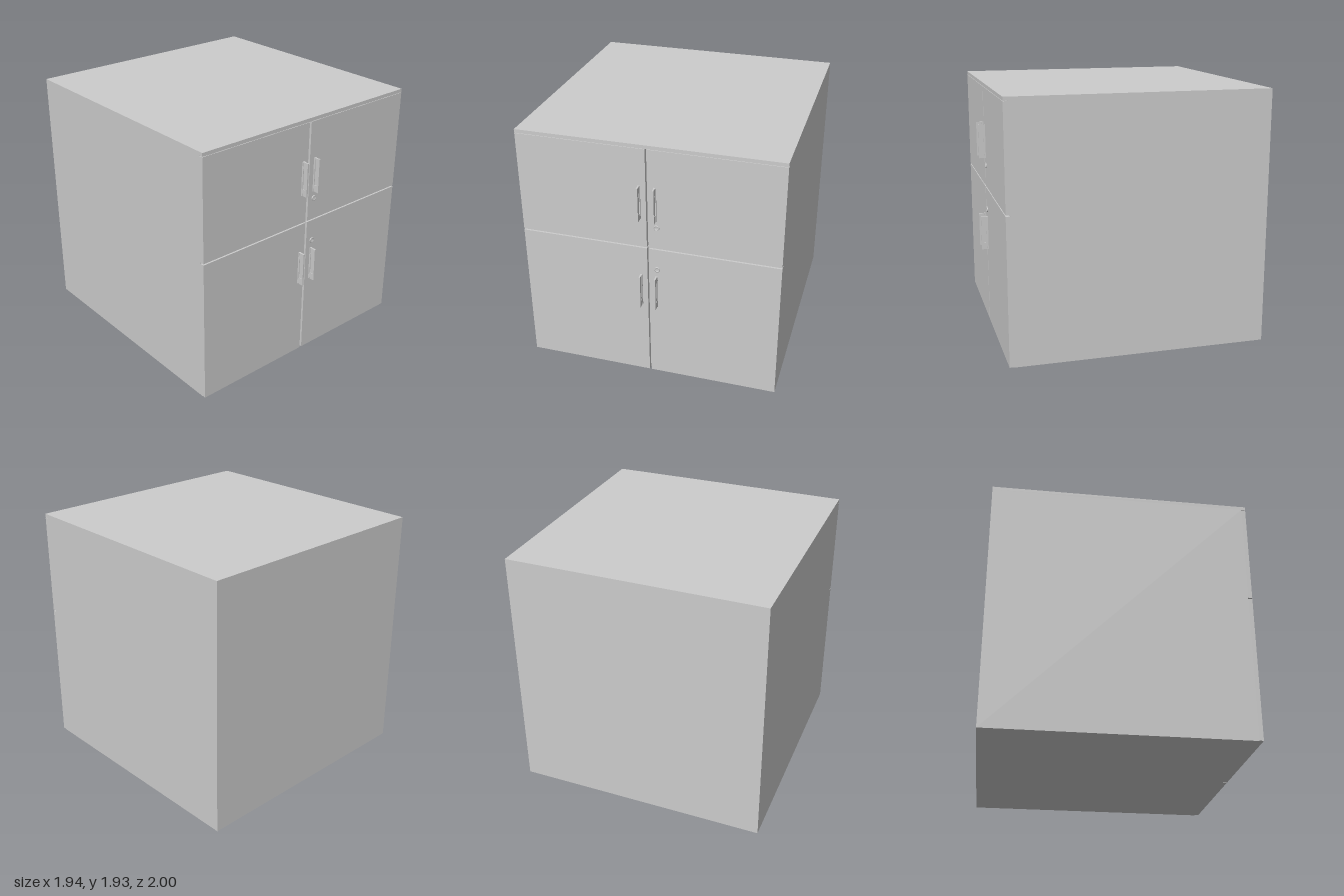
import * as THREE from 'three';

const mat = new THREE.MeshStandardMaterial({ color: 0xcccccc });

function add(parent, name, geometry, x = 0, y = 0, z = 0) {
  const mesh = new THREE.Mesh(geometry, mat);
  mesh.name = name;
  mesh.position.set(x, y, z);
  parent.add(mesh);
  return mesh;
}

// Box given by its lower and upper limits on each axis
function block(parent, name, [x0, x1], [y0, y1], [z0, z1]) {
  return add(parent, name, new THREE.BoxGeometry(x1 - x0, y1 - y0, z1 - z0),
    (x0 + x1) / 2, (y0 + y1) / 2, (z0 + z1) / 2);
}

function rectangle(Type, w, h) {
  const p = new Type();
  p.moveTo(-w / 2, -h / 2);
  p.lineTo(w / 2, -h / 2);
  p.lineTo(w / 2, h / 2);
  p.lineTo(-w / 2, h / 2);
  p.closePath();
  return p;
}

// Upright pull: a thin frame standing out from the door, a recessed web and a foot
function makeHandle(x, y) {
  const handle = new THREE.Group();
  handle.name = 'handle';
  const height = 0.264, depth = 0.052, width = 0.012;
  const frame = rectangle(THREE.Shape, depth, height);
  frame.holes.push(rectangle(THREE.Path, 0.03, 0.16));
  const geo = new THREE.ExtrudeGeometry(frame, { depth: width, bevelEnabled: false });
  geo.translate(0, 0, -width / 2);
  geo.rotateY(-Math.PI / 2);
  add(handle, 'handleFrame', geo);
  add(handle, 'handleWeb', new THREE.BoxGeometry(0.005, 0.16, 0.03));
  add(handle, 'handleFoot', new THREE.BoxGeometry(0.018, height, 0.012), 0, 0, -0.02);
  handle.position.set(x, y, 0.974);
  return handle;
}

// Round lock with a raised key slot
function makeLock(x, y) {
  const lock = new THREE.Group();
  lock.name = 'lock';
  const ring = new THREE.LatheGeometry([
    new THREE.Vector2(0.021, -0.004), new THREE.Vector2(0.021, 0.005),
    new THREE.Vector2(0.018, 0.007), new THREE.Vector2(0.014, 0.007),
    new THREE.Vector2(0.013, 0.003), new THREE.Vector2(0, 0.003)], 24);
  ring.rotateX(Math.PI / 2);
  add(lock, 'lockBarrel', ring);
  add(lock, 'keySlot', new THREE.BoxGeometry(0.005, 0.018, 0.004), 0, 0, 0.004);
  lock.position.set(x, y, 0.948);
  return lock;
}

export function createModel() {
  const cabinet = new THREE.Group();
  cabinet.name = 'cabinet';
  const front = 0.948, doorBack = 0.916, side = 0.972;

  // Carcass, with the top panel running out over the doors
  block(cabinet, 'carcass', [-side, side], [0, 1.9], [-1, doorBack]);
  block(cabinet, 'topPanel', [-side, side], [1.9, 1.927], [-1, front]);

  // Four doors in two rows, with thin gaps between them
  for (const [row, y0, y1] of [['lower', 0.003, 1.11], ['upper', 1.12, 1.897]]) {
    block(cabinet, row + 'RightDoor', [-side, -0.012], [y0, y1], [doorBack, front]);
    block(cabinet, row + 'LeftDoor', [0.006, side], [y0, y1], [doorBack, front]);
  }

  // Handles beside the middle gap, and locks on the left doors
  for (const y of [0.749, 1.482]) {
    for (const x of [-0.061, 0.056]) cabinet.add(makeHandle(x, y));
  }
  for (const y of [0.942, 1.292]) cabinet.add(makeLock(0.063, y));

  return cabinet;
}
